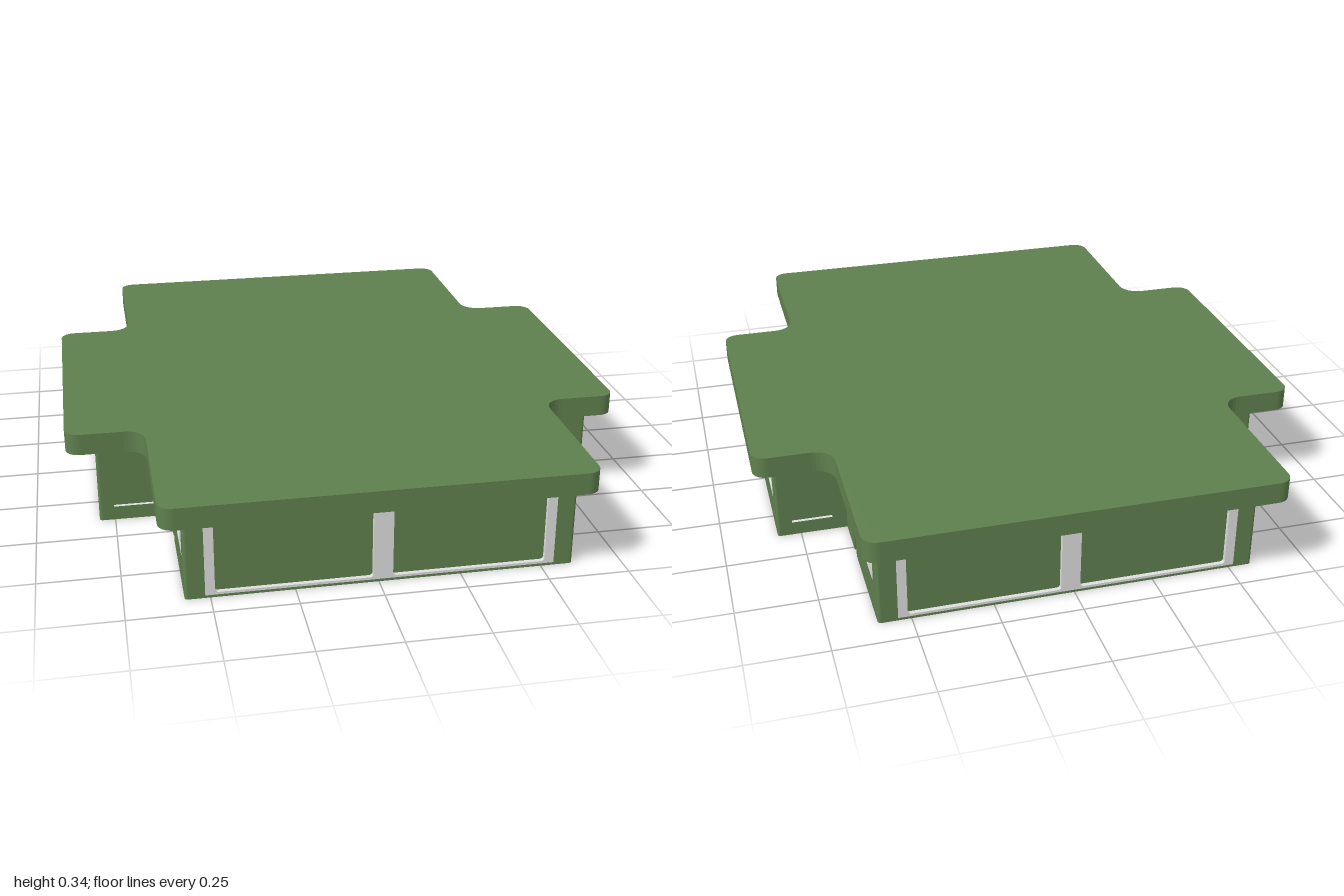
import * as THREE from 'three';

const GREEN = new THREE.MeshStandardMaterial({ color: 0x5f804e });
const FRAME = new THREE.MeshStandardMaterial({ color: 0xdedede, side: THREE.DoubleSide });
const GLASS = new THREE.MeshStandardMaterial({ color: 0x467894 });
GREEN.name = 'green cladding';
FRAME.name = 'pale frame';
GLASS.name = 'blue glass';

const H = 0.272, TOP = 0.34, T = 0.02;       // wall height, roof top, wall thickness
const BX = 0.5875, BZ = 0.915;               // main block half sizes
const WX = 0.8125, WZ = 0.38;                // side wing half sizes

function add(parent, name, geometry, material) {
  const mesh = new THREE.Mesh(geometry, material);
  mesh.name = name;
  parent.add(mesh);
  return mesh;
}

function box(parent, name, x0, x1, y0, y1, z0, z1, material) {
  const g = new THREE.BoxGeometry(x1 - x0, y1 - y0, z1 - z0);
  g.translate((x0 + x1) / 2, (y0 + y1) / 2, (z0 + z1) / 2);
  return add(parent, name, g, material);
}

// Closed outline through points [x, y, radius], with each corner rounded
function rounded(points, Type = THREE.Shape) {
  const path = new Type();
  const n = points.length;
  points.forEach(([x, y, r], i) => {
    const c = new THREE.Vector2(x, y);
    const toward = (p) => new THREE.Vector2(p[0], p[1]).sub(c).setLength(r).add(c);
    const a = toward(points[(i + n - 1) % n]);
    const b = toward(points[(i + 1) % n]);
    if (i === 0) path.moveTo(a.x, a.y); else path.lineTo(a.x, a.y);
    // Cubic approximating a quarter circle
    const k = 0.5523;
    const p = a.clone().lerp(c, k), q = b.clone().lerp(c, k);
    if (r > 0) path.bezierCurveTo(p.x, p.y, q.x, q.y, b.x, b.y);
  });
  path.closePath();
  return path;
}

const rect = (x0, x1, y0, y1, r, Type) =>
  rounded([[x0, y0, r], [x1, y0, r], [x1, y1, r], [x0, y1, r]], Type);

function plate(shape, depth) {
  return new THREE.ExtrudeGeometry(shape, { depth, bevelEnabled: false, curveSegments: 8 });
}

// Thin wall with a framed window; local x runs along the wall, +z faces out
function windowPanel(wall, sign, [p0, p1, f0, f1, g0, g1], z) {
  const span = (a, b) => (sign > 0 ? [a, b] : [-b, -a]);
  const f = span(f0, f1), g = span(g0, g1);
  const panel = rect(...span(p0, p1), 0, H, 0);
  panel.holes.push(rect(...f, 0.108, 0.267, 0.01, THREE.Path));
  add(wall, 'wallPanel', plate(panel, T).translate(0, 0, z), GREEN);

  const frame = rect(...f, 0.108, 0.267, 0.01);
  frame.holes.push(rect(...g, 0.12, 0.258, 0.002, THREE.Path));
  add(wall, 'windowFrame', plate(frame, T).translate(0, 0, z), FRAME);
  box(wall, 'windowGlass', ...g, 0.12, 0.258, z + 0.001, z + 0.004, GLASS);
}

// Side wall: panels between narrow grooves, symmetric about the middle
function sideWall(turn) {
  const wall = new THREE.Group();
  wall.name = 'sideWall';
  const wing = WX - T, main = BX - T;
  for (const s of [-1, 1]) {
    windowPanel(wall, s, [0.015, WZ - T, 0.022, 0.321, 0.048, 0.307], wing);
    windowPanel(wall, s, [WZ, 0.52, 0.386, 0.512, 0.395, 0.5], main);
    windowPanel(wall, s, [0.555, BZ - T, 0.561, 0.855, 0.582, 0.789], main);
    const c = s * 0.5375;
    box(wall, 'groove', c - 0.0175, c + 0.0175, 0, H, main, main + 0.008, GREEN);
  }
  box(wall, 'groove', -0.015, 0.015, 0, H, wing, wing + 0.008, GREEN);
  wall.rotation.y = turn;
  return wall;
}

// End wall: pale frame with two wide recessed door panels
function endWall(turn) {
  const wall = new THREE.Group();
  wall.name = 'endWall';
  const z = BZ - T, w = 0.528;
  const panel = rect(-BX + T, BX - T, 0, H, 0);
  panel.holes.push(rect(-w, w, 0.008, 0.268, 0, THREE.Path));
  add(wall, 'doorSurround', plate(panel, T).translate(0, 0, z), GREEN);

  const frame = rect(-w, w, 0.008, 0.268, 0);
  for (const [a, b] of [[-0.499, -0.03], [0.03, 0.499]]) {
    frame.holes.push(rect(a, b, 0.016, 0.264, 0.01, THREE.Path));
    box(wall, 'doorPanel', a, b, 0.016, 0.264, z + 0.002, z + 0.006, GREEN);
  }
  add(wall, 'doorFrame', plate(frame, T).translate(0, 0, z), FRAME);
  wall.rotation.y = turn;
  return wall;
}

// Corner post with a rounded outer edge, filling the gap between two walls
function cornerPost(walls, x, z, sx, sz) {
  const shape = rounded([[0, 0, 0], [sx * T, 0, 0], [sx * T, -sz * T, 0.01], [0, -sz * T, 0]]);
  const g = plate(shape, H).rotateX(-Math.PI / 2);
  add(walls, 'cornerPost', g.translate(sx * (x - T), 0, sz * (z - T)), GREEN);
}

export function createModel() {
  const model = new THREE.Group();
  model.name = 'pavilion';

  // Hollow shell of thin walls, open underneath
  const walls = new THREE.Group();
  walls.name = 'walls';
  walls.position.set(0.0125, 0, 0.005);
  walls.add(sideWall(Math.PI / 2), sideWall(-Math.PI / 2), endWall(0), endWall(Math.PI));

  for (const sx of [-1, 1]) for (const sz of [-1, 1]) {
    cornerPost(walls, BX, BZ, sx, sz);
    cornerPost(walls, WX, WZ, sx, sz);

    // Plain wing end with a thin ledge
    const end = new THREE.BoxGeometry(WX - BX, H, T);
    end.translate(sx * ((WX + BX) / 2 - T), H / 2, sz * (WZ - T / 2));
    add(walls, 'wingEnd', end, GREEN);
    const ledge = new THREE.PlaneGeometry(0.13, 0.012).rotateX(-Math.PI / 2);
    ledge.translate(sx * 0.7, 0.052, sz * (WZ + 0.006));
    add(walls, 'wingLedge', ledge, FRAME);
  }
  model.add(walls);

  // Cross-shaped overhanging roof with rounded corners
  const X = 0.89, B = 0.645, W = 0.46, o = 0.045, i = 0.065;
  const quarter = [[B, 1, o], [B, W, i], [X, W, o]];
  const flip = (sx, sy) => quarter.map(([x, y, r]) => [x * sx, y * sy, r]);
  const outline = rounded([
    ...flip(1, 1), ...flip(1, -1).reverse(), ...flip(-1, -1), ...flip(-1, 1).reverse(),
  ]);
  const roof = plate(outline, TOP - H).rotateX(-Math.PI / 2).translate(0, H, 0);
  add(model, 'roof', roof, GREEN);
  return model;
}
